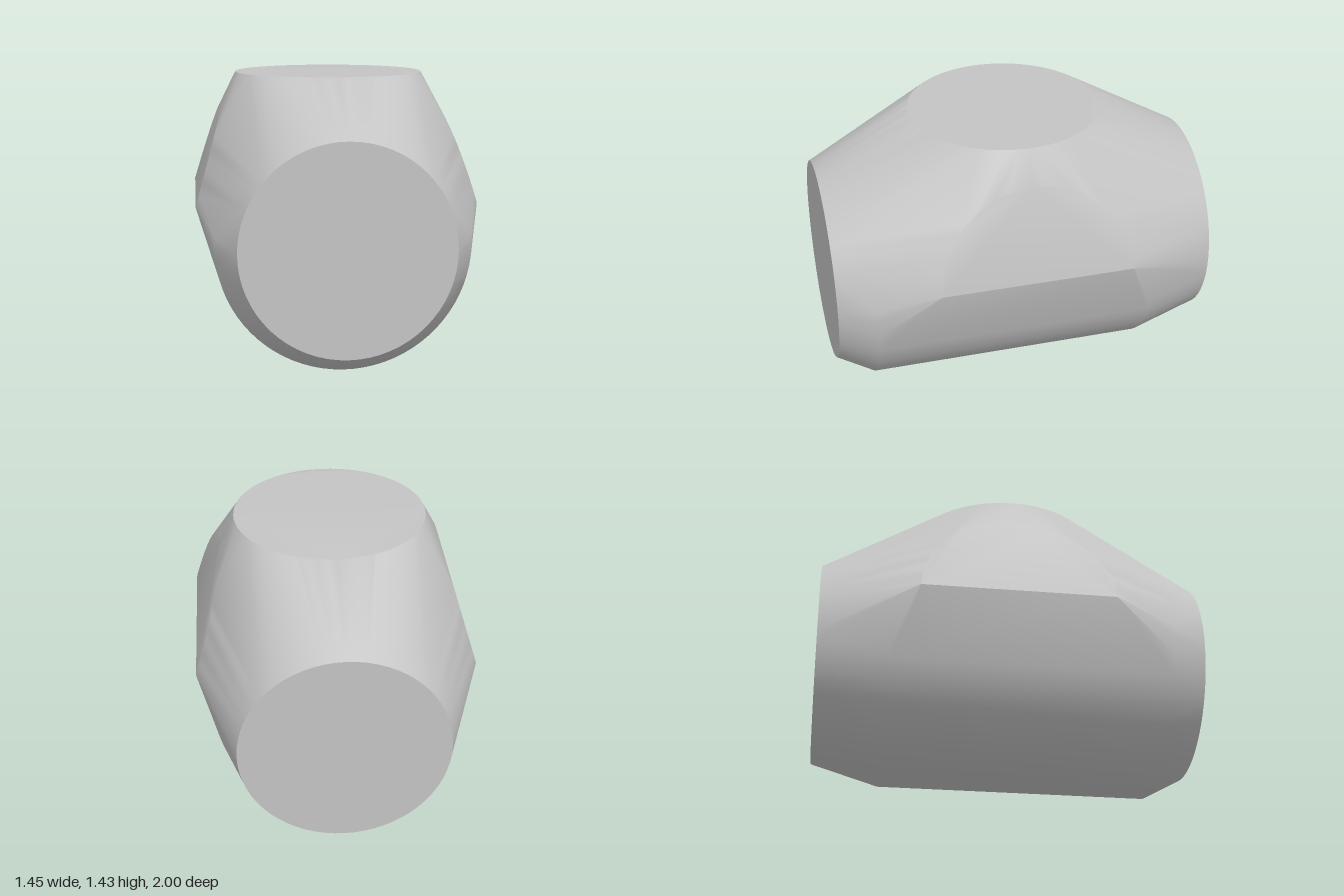
import * as THREE from 'three';
import { ConvexGeometry } from 'three/addons/geometries/ConvexGeometry.js';
import { toCreasedNormals } from 'three/addons/utils/BufferGeometryUtils.js';

// Points along an arc; place(cos, sin) turns the unit circle into a position
function arc(from, to, steps, place) {
  return Array.from({ length: steps + 1 }, (_, i) => {
    const a = from + (to - from) * i / steps;
    return new THREE.Vector3(...place(Math.cos(a), Math.sin(a)));
  });
}

export function createModel() {
  const group = new THREE.Group();
  const grey = new THREE.MeshStandardMaterial({ color: 0xc4c4c4 });
  grey.name = 'plain grey';
  const TAU = Math.PI * 2, axisY = 0.635, bodyR = 0.635;
  const points = [];

  // Round end caps at front and back
  for (const z of [1, -1])
    points.push(...arc(0, TAU * 63 / 64, 63, (c, s) => [0.532 * c, axisY + 0.532 * s, z]));

  // Round top cap
  points.push(...arc(0, TAU * 63 / 64, 63, (c, s) => [0.5 * c, 1.43, 0.5 * s]));

  // Rounded belly, reaching further forward than back
  for (const z of [0.81, -0.64])
    points.push(...arc(-Math.PI - 0.07, 0.07, 40, (c, s) => [bodyR * c, axisY + bodyR * s, z]));

  // Leaning half-disc on each flank, straight edge at the widest line
  for (const side of [1, -1])
    points.push(...arc(0, Math.PI, 24, (c, s) => [side * (0.724 - 0.144 * s), 0.78 + 0.48 * s, 0.5 * c]));

  // One skin stretched over all the sections
  const skin = toCreasedNormals(new ConvexGeometry(points), THREE.MathUtils.degToRad(30));
  const body = new THREE.Mesh(skin, grey);
  body.name = 'body';
  group.add(body);
  return group;
}
